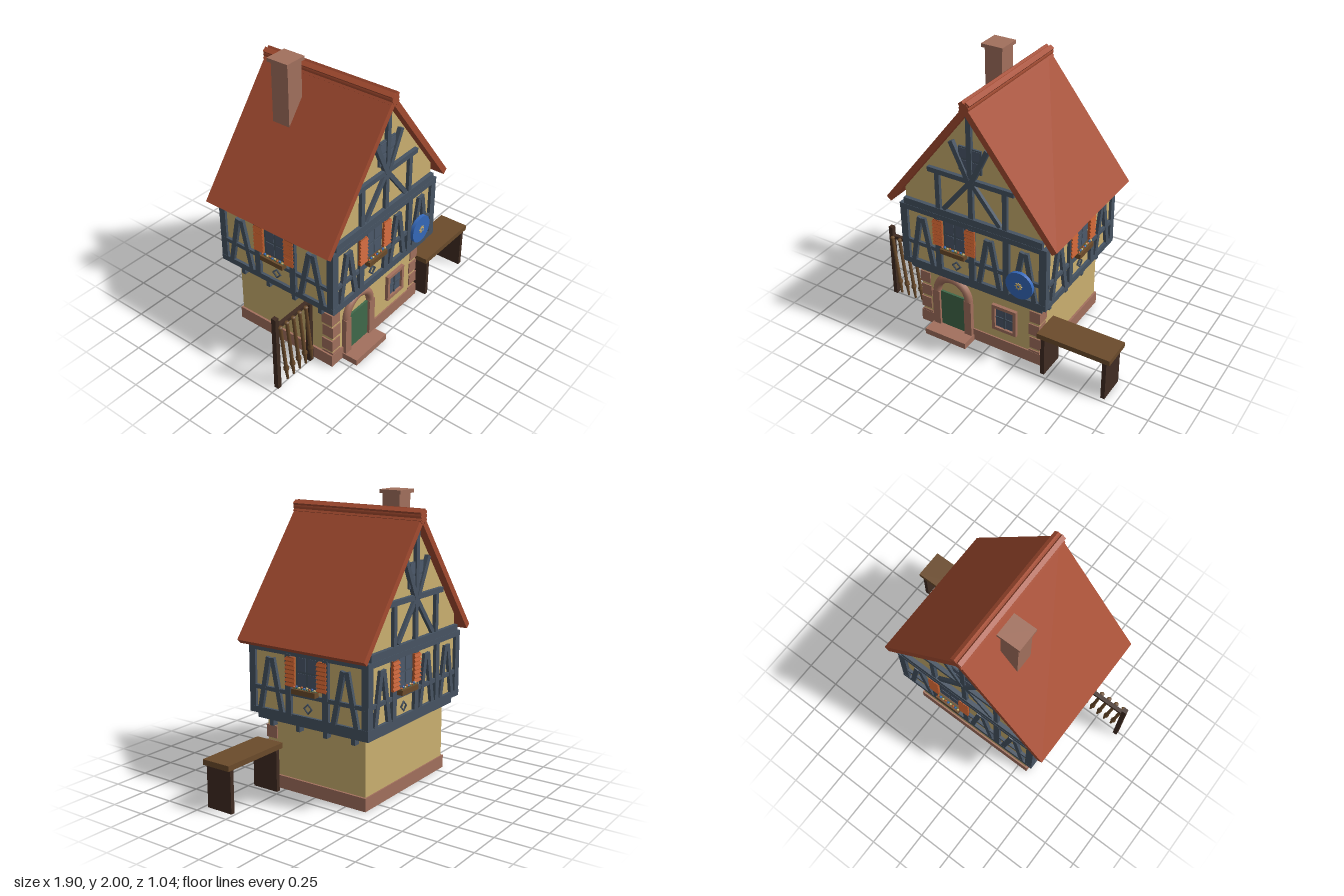
import * as THREE from 'three';

const mat = (name, color) => {
  const m = new THREE.MeshStandardMaterial({ color });
  m.name = name;
  return m;
};
const M = {
  plaster: mat('plaster', 0xcbb070),
  timber: mat('slate timber', 0x475463),
  tile: mat('roof tile', 0xa44b30),
  stone: mat('stone', 0xa2705d),
  oak: mat('oak', 0x6b4b2b),
  dark: mat('dark wood', 0x402c22),
  green: mat('door green', 0x40694a),
  blue: mat('sign blue', 0x3569bb),
  orange: mat('shutter orange', 0xbc5a2c),
  glass: mat('window glass', 0x4c596b),
};

function add(parent, name, geo, material, x = 0, y = 0, z = 0) {
  const mesh = new THREE.Mesh(geo, material);
  mesh.name = name;
  mesh.position.set(x, y, z);
  parent.add(mesh);
  return mesh;
}

// Box given by its limits on each axis
function box(parent, name, material, [x0, x1], [y0, y1], [z0, z1]) {
  return add(parent, name, new THREE.BoxGeometry(x1 - x0, y1 - y0, z1 - z0), material,
    (x0 + x1) / 2, (y0 + y1) / 2, (z0 + z1) / 2);
}

// Straight timber between two points in the facade plane
function bar(parent, name, x0, y0, x1, y1, width, depth = 0.035) {
  const length = Math.hypot(x1 - x0, y1 - y0);
  const b = add(parent, name, new THREE.BoxGeometry(width, length, depth), M.timber,
    (x0 + x1) / 2, (y0 + y1) / 2, 0.005);
  b.rotation.z = Math.atan2(x0 - x1, y1 - y0);
  return b;
}

function group(parent, name, x = 0, y = 0, z = 0) {
  const g = new THREE.Group();
  g.name = name;
  g.position.set(x, y, z);
  parent.add(g);
  return g;
}

// Polygon in x and y, extruded evenly about z = 0
function prism(points, depth) {
  const shape = new THREE.Shape(points.map(([x, y]) => new THREE.Vector2(x, y)));
  const geo = new THREE.ExtrudeGeometry(shape, { depth, bevelEnabled: false });
  return geo.translate(0, 0, -depth / 2);
}

// Shuttered window with flower box and diamond below
function windowBay(parent, x) {
  const g = group(parent, 'shutteredWindow', x);
  box(g, 'windowFrame', M.timber, [-0.09, 0.09], [0.765, 0.985], [-0.01, 0.012]);
  for (const sx of [-1, 1]) {
    for (const y of [0.822, 0.927]) {
      box(g, 'pane', M.glass, [sx * 0.041 - 0.033, sx * 0.041 + 0.033], [y - 0.045, y + 0.045], [0.01, 0.015]);
    }
    box(g, 'shutter', M.orange, [sx * 0.127 - 0.032, sx * 0.127 + 0.032], [0.77, 0.97], [0.01, 0.028]);
    for (let i = 0; i < 7; i++) {
      const slat = add(g, 'shutterSlat', new THREE.BoxGeometry(0.078, 0.02, 0.007), M.orange,
        sx * 0.127, 0.785 + i * 0.028, 0.03);
      slat.rotation.x = -0.5;
    }
  }
  box(g, 'flowerBox', M.oak, [-0.095, 0.095], [0.735, 0.77], [0.015, 0.058]);
  const petals = [M.orange, M.blue, M.plaster];
  for (let i = 0; i < 9; i++) {
    const fx = -0.084 + i * 0.021;
    add(g, 'leaf', new THREE.IcosahedronGeometry(0.01, 0), M.green, fx, 0.772, 0.036);
    add(g, 'flower', new THREE.IcosahedronGeometry(0.009, 0), petals[i % 3], fx, 0.78 + (i % 2) * 0.006, 0.042);
  }
  add(g, 'diamond', new THREE.TorusGeometry(0.031, 0.008, 4, 4), M.timber, 0, 0.635, 0.006);
}

// One half-timbered side of the upper floor, facing +z
function facade(parent, name, width, bays, windowIndex) {
  const g = group(parent, name);
  const w = width / bays;
  for (let i = 0; i <= bays; i++) {
    const x = -width / 2 + i * w;
    if (i > 0 && i < bays) bar(g, 'post', x, 0.57, x, 0.985, 0.045, 0.037);
    if (i === bays) break;
    const cx = x + w / 2;
    if (i === windowIndex) {
      windowBay(g, cx);
    } else {
      for (const s of [-1, 1]) bar(g, 'brace', cx + s * w * 0.05, 0.937, cx + s * w * 0.3, 0.575, 0.036);
    }
  }
  bar(g, 'rail', -width / 2, 0.722, width / 2, 0.722, 0.028, 0.03);
  return g;
}

// Timbers and small window of a gable, facing +z
function gableTimbers(parent, name) {
  const g = group(parent, name);
  box(g, 'gableWindow', M.timber, [-0.085, 0.085], [1.4, 1.57], [-0.01, 0.012]);
  for (const sx of [-1, 1]) {
    for (const y of [1.443, 1.527]) {
      box(g, 'gablePane', M.glass, [sx * 0.045 - 0.03, sx * 0.045 + 0.03], [y - 0.034, y + 0.034], [0.01, 0.015]);
    }
    bar(g, 'gablePost', sx * 0.255, 1.05, sx * 0.255, 1.33, 0.034);
    bar(g, 'gableBrace', sx * 0.01, 1.32, sx * 0.215, 1.065, 0.032, 0.031);
    bar(g, 'gableFork', sx * 0.01, 1.33, sx * 0.135, 1.59, 0.034, 0.045);
  }
  bar(g, 'collarBeam', -0.325, 1.338, 0.325, 1.338, 0.035, 0.04);
  bar(g, 'kingPostLower', 0, 1.05, 0, 1.33, 0.036, 0.033);
  bar(g, 'kingPostUpper', 0, 1.33, 0, 1.8, 0.036, 0.037);
  return g;
}

export function createModel() {
  const model = new THREE.Group();
  model.name = 'timberHouse';
  const house = group(model, 'house', -0.085);

  // Ground floor
  box(house, 'groundWalls', M.plaster, [-0.475, 0.475], [0, 0.5], [-0.4, 0.4]);
  box(house, 'plinth', M.stone, [-0.49, 0.49], [0.003, 0.095], [-0.41, 0.41]);
  for (const s of [-1, 1]) {
    [0.095, 0.13, 0.24, 0.35].forEach((y, i) => {
      const o = i % 2 ? 0.485 : 0.478;
      const x = [s * o, s * (o - 0.082)].sort((a, b) => a - b);
      box(house, 'cornerStone', M.stone, x, [y, y + (i ? 0.088 : 0.015)], [0.32, 0.408]);
    });
    for (let i = 0; i < 4; i++) {
      const z = -0.335 + i * 0.223;
      box(house, 'joistEnd', M.timber, s > 0 ? [0.47, 0.52] : [-0.52, -0.47], [0.45, 0.495], [z - 0.015, z + 0.015]);
    }
  }

  // Arched door
  const door = group(house, 'door', -0.21, 0, 0.4);
  box(door, 'doorLeaf', M.green, [-0.105, 0.105], [0.045, 0.33], [0, 0.016]);
  box(door, 'doorStep', M.stone, [-0.167, 0.167], [0, 0.045], [-0.01, 0.13]);
  for (const s of [-1, 1]) {
    box(door, 'doorJamb', M.stone, [s * 0.13 - 0.029, s * 0.13 + 0.029], [0.045, 0.33], [-0.01, 0.034]);
  }
  add(door, 'doorArch', new THREE.TorusGeometry(0.129, 0.031, 10, 20, Math.PI), M.stone, 0, 0.33, 0.008);

  // Ground floor window
  const win = group(house, 'groundWindow', 0.21, 0.283, 0.4);
  box(win, 'glass', M.glass, [-0.075, 0.075], [-0.08, 0.08], [0, 0.008]);
  for (const s of [-1, 1]) {
    box(win, 'frameSide', M.stone, [s * 0.083 - 0.012, s * 0.083 + 0.012], [-0.103, 0.103], [0, 0.025]);
    box(win, 'frameRail', M.stone, [-0.075, 0.075], [s * 0.091 - 0.012, s * 0.091 + 0.012], [0, 0.025]);
  }
  box(win, 'mullion', M.timber, [-0.006, 0.006], [-0.08, 0.08], [0, 0.015]);
  box(win, 'transom', M.timber, [-0.075, 0.075], [-0.006, 0.006], [0, 0.014]);

  // Upper floor
  box(house, 'upperWalls', M.plaster, [-0.545, 0.545], [0.56, 1], [-0.457, 0.457]);
  box(house, 'floorBeam', M.timber, [-0.52, 0.52], [0.49, 0.545], [-0.45, 0.45]);
  box(house, 'lowerPlate', M.timber, [-0.565, 0.565], [0.54, 0.583], [-0.48, 0.48]);
  box(house, 'upperPlate', M.timber, [-0.565, 0.565], [0.975, 1.012], [-0.48, 0.48]);
  box(house, 'gableSill', M.timber, [-0.53, 0.53], [1.01, 1.06], [-0.478, 0.478]);
  for (const sx of [-1, 1]) for (const sz of [-1, 1]) {
    box(house, 'cornerPost', M.timber, [sx * 0.537 - 0.027, sx * 0.537 + 0.027], [0.545, 1.01],
      [sz * 0.454 - 0.025, sz * 0.454 + 0.025]);
  }
  facade(house, 'frontFacade', 1.06, 4, 1).position.z = 0.457;
  const back = facade(house, 'backFacade', 1.06, 4, 1);
  back.position.z = -0.457;
  back.rotation.y = Math.PI;
  for (const s of [-1, 1]) {
    const side = facade(house, s > 0 ? 'leftFacade' : 'rightFacade', 0.9, 3, 1);
    side.position.x = s * 0.545;
    side.rotation.y = s * Math.PI / 2;
  }

  // Round sign with a star
  const sign = group(house, 'roundSign', 0.377, 0.69, 0.49);
  add(sign, 'signDisc', new THREE.CylinderGeometry(0.1, 0.1, 0.025, 32), M.blue).rotation.x = Math.PI / 2;
  const star = Array.from({ length: 16 }, (_, i) => {
    const r = i % 2 ? 0.018 : 0.029, a = i * Math.PI / 8;
    return [r * Math.cos(a), r * Math.sin(a)];
  });
  add(sign, 'signStar', prism(star, 0.009), M.plaster, 0, 0, 0.013);
  add(sign, 'signHub', new THREE.CylinderGeometry(0.008, 0.008, 0.01, 12), M.blue, 0, 0, 0.015).rotation.x = Math.PI / 2;

  // Gables and roof
  const gable = [[-0.53, 1.0], [0.53, 1.0], [0.53, 1.13], [0, 1.815], [-0.53, 1.13]];
  add(house, 'gableWalls', prism(gable, 0.9), M.plaster);
  gableTimbers(house, 'frontGable').position.z = 0.452;
  const backGable = gableTimbers(house, 'backGable');
  backGable.position.z = -0.452;
  backGable.rotation.y = Math.PI;
  const roof = [[0, 1.88], [-0.65, 1.045], [-0.617, 1.017], [0, 1.81], [0.617, 1.017], [0.65, 1.045]];
  add(house, 'roof', prism(roof, 1.01), M.tile);
  add(house, 'ridgeRoll', new THREE.CylinderGeometry(0.036, 0.036, 1.024, 8), M.tile, 0, 1.86, 0).rotation.x = Math.PI / 2;
  for (const s of [-1, 1]) {
    add(house, 'ridgeTile', new THREE.BoxGeometry(0.092, 0.034, 1.02), M.tile, 0, 1.86, 0).rotation.z = s * 0.91;
  }

  // Chimney
  box(house, 'chimney', M.stone, [-0.253, -0.123], [1.45, 1.98], [-0.25, -0.115]);
  box(house, 'chimneyCap', M.stone, [-0.272, -0.108], [1.975, 2], [-0.266, -0.1]);

  // Bench
  const bench = group(model, 'bench');
  box(bench, 'benchTop', M.oak, [0.415, 0.95], [0.3, 0.338], [0.26, 0.48]);
  for (const x of [0.455, 0.91]) box(bench, 'benchLeg', M.dark, [x - 0.015, x + 0.015], [0, 0.3], [0.27, 0.472]);

  // Fence with leaning spindles
  const fence = group(model, 'fence');
  box(fence, 'outerPost', M.dark, [-0.95, -0.918], [0, 0.585], [0.225, 0.26]);
  box(fence, 'innerPost', M.dark, [-0.622, -0.59], [0, 0.515], [0.225, 0.26]);
  box(fence, 'fenceRail', M.dark, [-0.94, -0.6], [0.492, 0.518], [0.228, 0.257]);
  const profile = [[0, -0.235], [0.008, -0.235], [0.013, -0.15], [0.019, -0.145], [0.019, -0.125], [0.013, -0.12],
    [0.012, 0.235], [0.017, 0.24], [0.012, 0.25], [0, 0.25]].map(([x, y]) => new THREE.Vector2(x, y));
  for (let i = 0; i < 5; i++) {
    add(fence, 'spindle', new THREE.LatheGeometry(profile, 10), M.oak, -0.889 + i * 0.062, 0.268, 0.268).rotation.z = 0.105;
  }
  return model;
}
